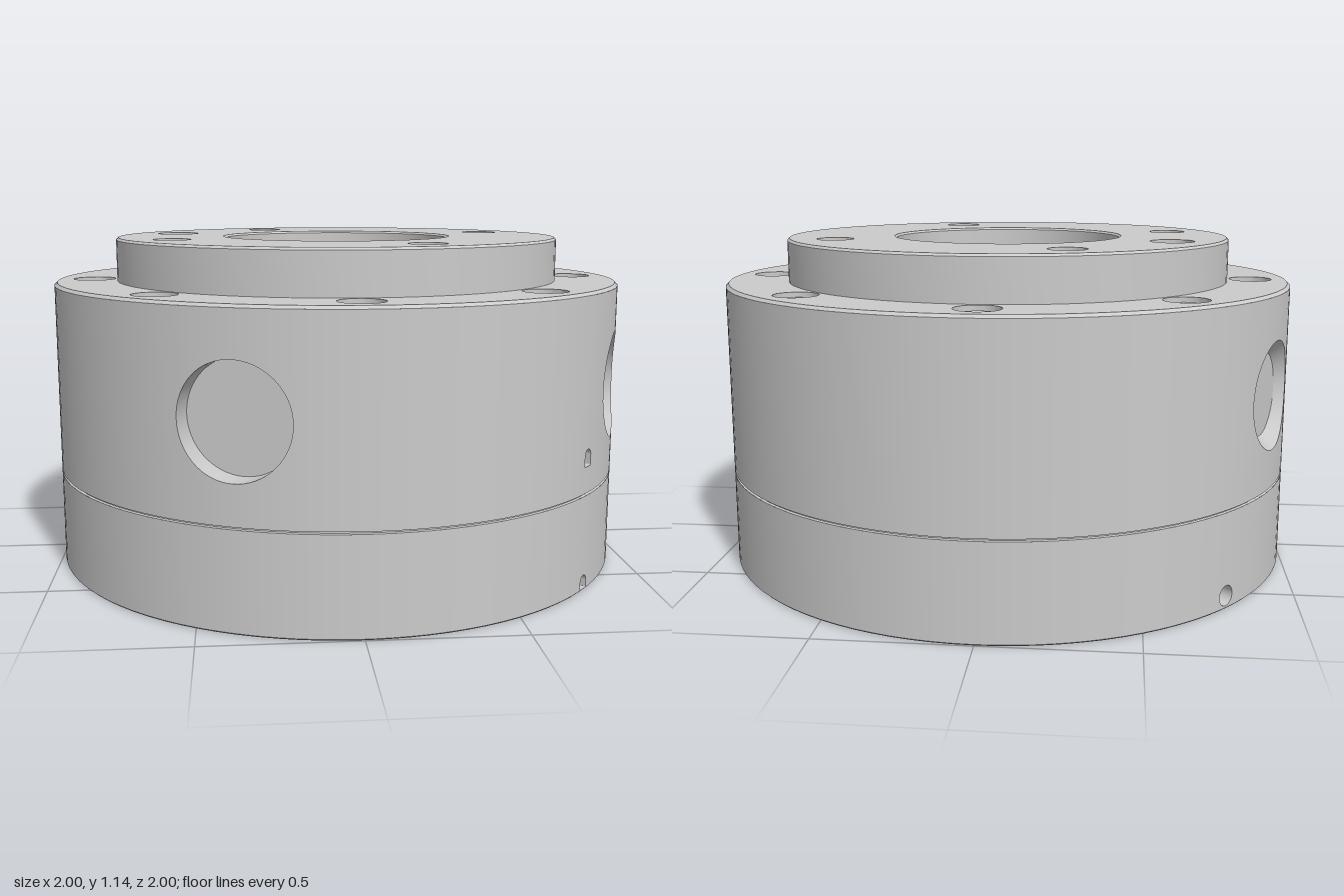
import * as THREE from 'three';
import { toCreasedNormals } from 'three/addons/utils/BufferGeometryUtils.js';
import { ParametricGeometry } from 'three/addons/geometries/ParametricGeometry.js';

const TAU = Math.PI * 2;
const deg = THREE.MathUtils.degToRad;
const lerp = THREE.MathUtils.lerp;
const grey = new THREE.MeshStandardMaterial({ color: 0xcccccc, side: THREE.DoubleSide });

function add(parent, name, geometry, y = 0) {
  const mesh = new THREE.Mesh(geometry, grey);
  mesh.name = name;
  mesh.position.y = y;
  parent.add(mesh);
  return mesh;
}

// Turned part with sharp edges kept
function turned(points, segments = 96) {
  const profile = points.map(([r, y]) => new THREE.Vector2(r, y));
  return toCreasedNormals(new THREE.LatheGeometry(profile, segments), 0.4);
}

// Flat round plate facing up, with round holes [x, z, r]
function plate(radius, holes) {
  const shape = new THREE.Shape().absarc(0, 0, radius, 0, TAU);
  for (const [x, z, r] of holes) shape.holes.push(new THREE.Path().absarc(x, -z, r, 0, TAU, true));
  return new THREE.ShapeGeometry(shape, 48).rotateX(-Math.PI / 2);
}

// Point at angle t on a square of half size 1
function square(t) {
  const c = Math.cos(t), s = Math.sin(t), m = Math.max(Math.abs(c), Math.abs(s));
  return [c / m, s / m];
}

// Hole outlines: sideways and upward offset at angle t
const round = (r) => (t) => [r * Math.cos(t), r * Math.sin(t)];
const arch = (w, h) => (t) => {
  if (Math.sin(t) >= 0) return [w * Math.cos(t), w * Math.sin(t)];
  const [a, b] = square(t);
  return [w * a, h * b];
};

// Patch of the outer wall with a radial hole, its lining and its floor
function holePatch(parent, y0, y1, { name, az, half, cy, outline, floor, taper = 1 }) {
  const group = new THREE.Group();
  group.name = name;
  group.rotation.y = az;
  parent.add(group);
  add(group, name + 'Surround', new ParametricGeometry((u, v, p) => {
    const t = u * TAU, [a, b] = square(t), [l, h] = outline(t);
    const angle = lerp(a * half, Math.asin(l), v);
    const y = lerp(cy + b * (b > 0 ? y1 - cy : cy - y0), cy + h, v);
    p.set(Math.sin(angle), y, Math.cos(angle));
  }, 64, 6));
  add(group, name + 'Lining', new ParametricGeometry((u, v, p) => {
    const [l, h] = outline(u * TAU), k = lerp(1, taper, v);
    p.set(l * k, cy + h * k, lerp(Math.sqrt(1 - l * l), floor, v));
  }, 64, 1));
  const rim = Array.from({ length: 64 }, (_, i) => {
    const [l, h] = outline(i / 64 * TAU);
    return new THREE.Vector2(l * taper, h * taper);
  });
  add(group, name + 'Floor', new THREE.ShapeGeometry(new THREE.Shape(rim)), cy).position.z = floor;
}

// Cylindrical wall of radius 1, holes listed by rising azimuth
function wall(parent, name, y0, y1, holes) {
  holes.forEach((hole, i) => {
    holePatch(parent, y0, y1, hole);
    const next = holes[(i + 1) % holes.length];
    const start = hole.az + hole.half;
    const end = next.az - next.half + (i + 1 === holes.length ? TAU : 0);
    const segments = Math.max(2, Math.ceil((end - start) / TAU * 128));
    add(parent, name, new THREE.CylinderGeometry(1, 1, y1 - y0, segments, 1, true, start, end - start), (y0 + y1) / 2);
  });
}

export function createModel() {
  const model = new THREE.Group();
  model.name = 'flangedHousing';

  // Base ring with recessed underside
  add(model, 'baseUnderside', turned([[0, 0.09], [0.95, 0.09], [0.95, 0.015], [0.962, 0], [0.995, 0], [1, 0.005]]));
  wall(model, 'baseWall', 0.005, 0.326, [
    { name: 'baseNotch', az: deg(49.7), half: 0.04, cy: 0.032, outline: arch(0.022, 0.026), floor: 0.951 },
    { name: 'basePinHole', az: deg(230), half: 0.06, cy: 0.046, outline: round(0.034), floor: 0.951 },
  ]);
  add(model, 'seamGroove', turned([[1, 0.326], [0.992, 0.328], [0.992, 0.332], [1, 0.334]]));

  // Main housing with radial ports
  const port = { half: 0.215, cy: 0.648, outline: round(0.183), floor: 0.91 };
  wall(model, 'housingWall', 0.334, 0.98, [
    { ...port, name: 'frontPort', az: deg(-22.5) },
    { name: 'housingNotch', az: deg(49.7), half: 0.04, cy: 0.459, outline: arch(0.022, 0.036), floor: 0.94 },
    { ...port, name: 'sidePort', az: deg(67.5) },
    { ...port, name: 'pluggedPort', az: deg(247.5), floor: 0.955, taper: 0.77 },
  ]);
  add(model, 'housingChamfer', turned([[1, 0.98], [0.99, 0.99]]));

  // Flange face and socket screws
  const bolts = Array.from({ length: 8 }, (_, i) => {
    const a = i * TAU / 8;
    return [0.868 * Math.sin(a), 0.868 * Math.cos(a), 0.074];
  });
  add(model, 'flangeFace', plate(0.99, [[0, 0, 0.785], ...bolts]), 0.99);
  const head = new THREE.Shape().absarc(0, 0, 0.06, 0, TAU);
  head.holes.push(new THREE.Path(Array.from({ length: 6 }, (_, i) =>
    new THREE.Vector2(0.036 * Math.cos(-i * TAU / 6), 0.036 * Math.sin(-i * TAU / 6)))));
  const headGeometry = toCreasedNormals(
    new THREE.ExtrudeGeometry(head, { depth: 0.045, bevelEnabled: false, curveSegments: 20 }).rotateX(-Math.PI / 2), 0.4);
  const counterbore = turned([[0.074, 0], [0.074, -0.06], [0, -0.06]], 48);
  bolts.forEach(([x, z], i) => {
    const screw = new THREE.Group();
    screw.name = 'screw' + (i + 1);
    screw.position.set(x, 0.99, z);
    screw.rotation.y = i * TAU / 8;
    add(screw, 'counterbore', counterbore);
    add(screw, 'screwHead', headGeometry, -0.06);
    model.add(screw);
  });

  // Raised boss with central bore
  add(model, 'bossWall', turned([[0.785, 0.99], [0.785, 1.132], [0.777, 1.14]]));
  const pinHoles = [[-0.245, -0.578, 0.064], [0.575, -0.245, 0.064], [0.242, 0.575, 0.064], [-0.578, 0.242, 0.064]];
  const bowl = [-0.58, -0.237, 0.075];
  add(model, 'bossFace', plate(0.777, [[0, 0, 0.407], ...pinHoles, bowl]), 1.14);
  add(model, 'centralBore', turned([[0.407, 1.14], [0.4, 1.133], [0.4, 0.98], [0, 0.98]]));

  // Blind holes in the boss face
  for (const [x, z, r] of pinHoles) {
    add(model, 'bossHole', turned([[r, 0], [r, -0.13], [0, -0.13]], 48), 1.14).position.set(x, 1.14, z);
  }
  const bowlProfile = [[bowl[2], 0]];
  for (let i = 0; i <= 10; i++) {
    const a = i / 10 * Math.PI / 2;
    bowlProfile.push([bowl[2] * Math.cos(a), -0.07 - bowl[2] * Math.sin(a)]);
  }
  add(model, 'roundBottomHole', turned(bowlProfile, 48)).position.set(bowl[0], 1.14, bowl[1]);

  return model;
}
